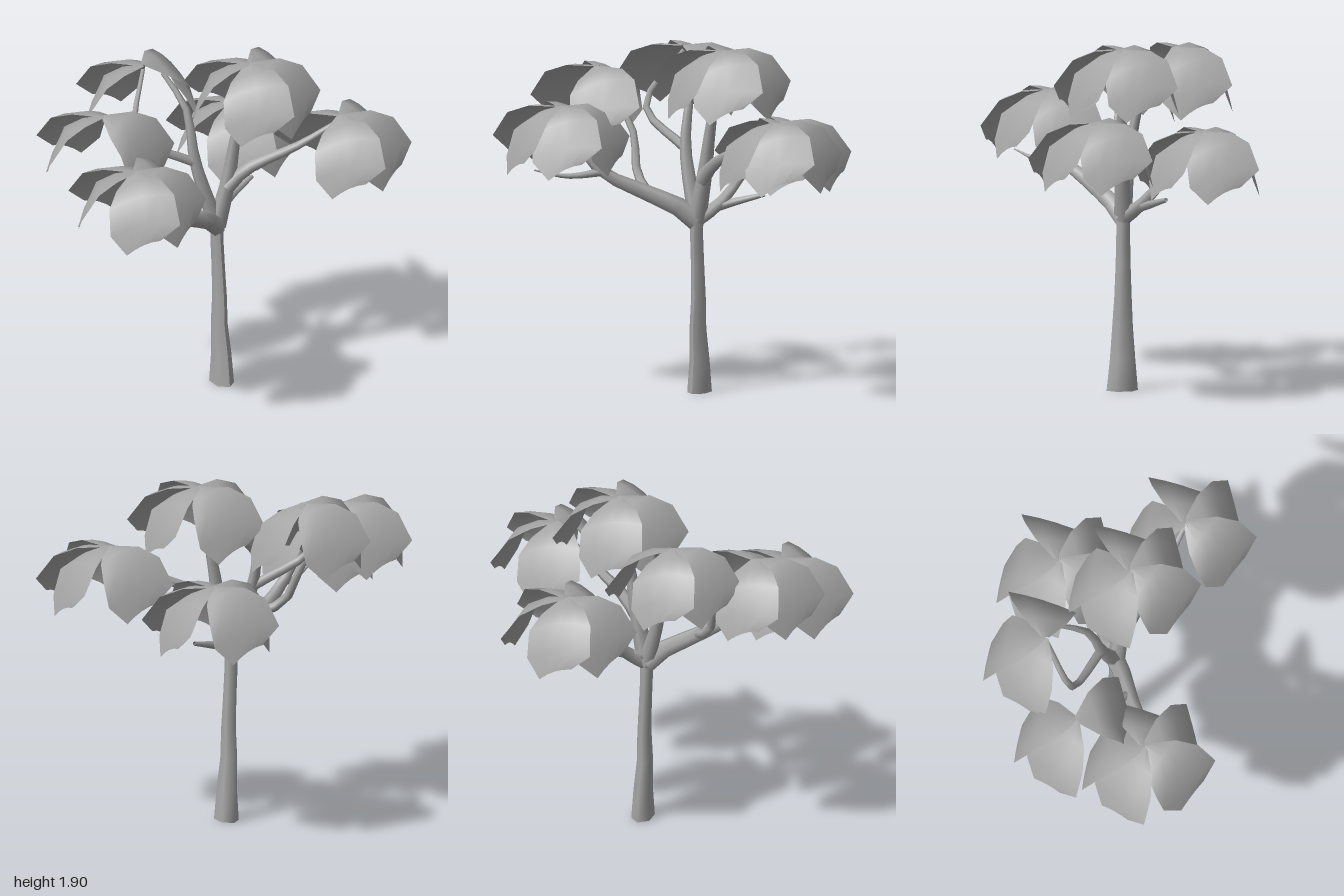
import * as THREE from 'three';

const grey = new THREE.MeshStandardMaterial({ color: 0xa6a6a6, side: THREE.DoubleSide });

// Tapered, six-sided limb along a smooth path
function limb(name, points, startRadius, endRadius = 0.012) {
  const curve = new THREE.CatmullRomCurve3(points.map((p) => new THREE.Vector3(...p)));
  const rings = 8, sides = 6;
  const geo = new THREE.TubeGeometry(curve, rings, 1, sides);
  const pos = geo.attributes.position, v = new THREE.Vector3();
  for (let i = 0; i <= rings; i++) {
    const centre = curve.getPointAt(i / rings);
    const r = THREE.MathUtils.lerp(startRadius, endRadius, i / rings);
    for (let j = 0; j <= sides; j++) {
      const k = i * (sides + 1) + j;
      v.fromBufferAttribute(pos, k).sub(centre).multiplyScalar(r).add(centre);
      pos.setXYZ(k, v.x, v.y, v.z);
    }
  }
  const mesh = new THREE.Mesh(geo, grey);
  mesh.name = name;
  return mesh;
}

// Flared, slightly twisting trunk, narrower across x than z
function trunk() {
  const height = 1.04;
  const geo = new THREE.CylinderGeometry(1, 1, height, 6, 6);
  geo.translate(0, height / 2, 0);
  const pos = geo.attributes.position;
  for (let i = 0; i < pos.count; i++) {
    const y = pos.getY(i), t = y / height;
    const r = 0.037 + 0.05 * Math.pow(1 - t, 2.2);
    const squash = 0.7 + 0.3 * t * t;
    const sway = 0.004 * Math.sin(t * 14);
    pos.setXYZ(i, pos.getX(i) * r * squash + 0.085 - 0.025 * t + sway, y, pos.getZ(i) * r + 0.012 * (1 - t));
  }
  geo.computeVertexNormals();
  const mesh = new THREE.Mesh(geo, grey);
  mesh.name = 'trunk';
  return mesh;
}

// Lopsided drooping leaf: rows of [distance out, height, half width, skew]
function leafGeometry() {
  const rows = [
    [0, 0, 0.02, 0], [0.11, -0.01, 0.12, 0.01], [0.21, -0.055, 0.175, 0.02],
    [0.285, -0.19, 0.185, 0.045], [0.312, -0.3, 0.09, 0.012],
  ];
  const across = 4;
  const geo = new THREE.PlaneGeometry(1, 1, across, rows.length - 1);
  const pos = geo.attributes.position;
  rows.forEach(([out, y, half, skew], i) => {
    for (let j = 0; j <= across; j++) {
      const u = (j / across) * 2 - 1;
      const droop = 0.2 * u * u * half;
      // one edge reaches further and rides over the neighbouring leaf
      const lift = 0.045 * u * Math.min(1, out / 0.15);
      pos.setXYZ(i * (across + 1) + j, out + skew * u, y - droop + lift, -u * half - skew * 0.4);
    }
  });
  geo.computeVertexNormals();
  return geo;
}

// Directions of the leaves round a cluster, in degrees from +x towards +z
const directions = { front: 114, frontSide: 58, side: -10, back: -97, farSide: -158 };

function leafCluster(leaf, centre, missing) {
  const cluster = new THREE.Group();
  cluster.name = 'leafCluster';
  cluster.position.set(...centre);
  for (const [key, angle] of Object.entries(directions)) {
    if (missing.includes(key)) continue;
    const mesh = new THREE.Mesh(leaf, grey);
    mesh.name = key + 'Leaf';
    mesh.rotation.y = -THREE.MathUtils.degToRad(angle);
    cluster.add(mesh);
  }
  return cluster;
}

export function createModel() {
  const tree = new THREE.Group();
  tree.name = 'tree';
  tree.add(trunk());

  // Boughs: a limb that ends in the middle of its leaf cluster
  const crotch = [0.06, 0.94, 0];
  const boughs = [
    { name: 'frontLeft', centre: [-0.63, 1.56, 0.28], missing: [], radius: 0.058,
      path: [crotch, [-0.03, 1.02, 0.05], [-0.2, 1.1, 0.13], [-0.42, 1.23, 0.25]] },
    { name: 'left', centre: [-0.6, 1.73, -0.1], missing: ['front', 'side'], radius: 0.028,
      path: [[-0.18, 1.1, 0.12], [-0.29, 1.18, 0.03], [-0.36, 1.4, -0.05]] },
    { name: 'backLeft', centre: [-0.2, 1.84, -0.34], missing: ['front', 'frontSide'], radius: 0.028,
      path: [[-0.035, 1.32, -0.06], [-0.33, 1.49, -0.16], [-0.34, 1.58, -0.2]] },
    { name: 'backRight', centre: [0.39, 1.46, -0.37], missing: [], radius: 0.04,
      path: [crotch, [0.16, 1.03, -0.08], [0.25, 1.2, -0.21]] },
    { name: 'top', centre: [0.24, 1.9, 0.05], missing: [], radius: 0.052,
      path: [crotch, [0.12, 1.2, 0.02], [0.16, 1.45, 0.03]] },
    { name: 'frontRight', centre: [0.68, 1.57, 0.28], missing: ['farSide'], radius: 0.04,
      path: [[0.11, 1.17, 0.03], [0.2, 1.27, 0.07], [0.47, 1.41, 0.2]] },
  ];
  const leaf = leafGeometry();
  for (const { name, centre, missing, radius, path } of boughs) {
    const bough = new THREE.Group();
    bough.name = name + 'Bough';
    const [x, y, z] = centre;
    bough.add(limb('limb', [...path, [x, y - 0.03, z]], radius));
    bough.add(leafCluster(leaf, centre, missing));
    tree.add(bough);
  }

  // Bare side limbs
  tree.add(
    limb('uprightLimb', [crotch, [-0.04, 1.33, -0.06], [-0.05, 1.62, -0.14], [-0.1, 1.78, -0.3]], 0.046),
    limb('leftTwig', [[-0.38, 1.21, 0.23], [-0.55, 1.19, 0.36], [-0.7, 1.225, 0.45]], 0.025, 0.004),
    limb('centreStub', [[0.165, 1.5, 0.03], [0.19, 1.56, 0], [0.2, 1.58, -0.06]], 0.028, 0.014),
    limb('backStub', [[0.08, 0.99, -0.02], [0.2, 1.03, -0.1], [0.39, 1.085, -0.17]], 0.032),
  );
  return tree;
}
